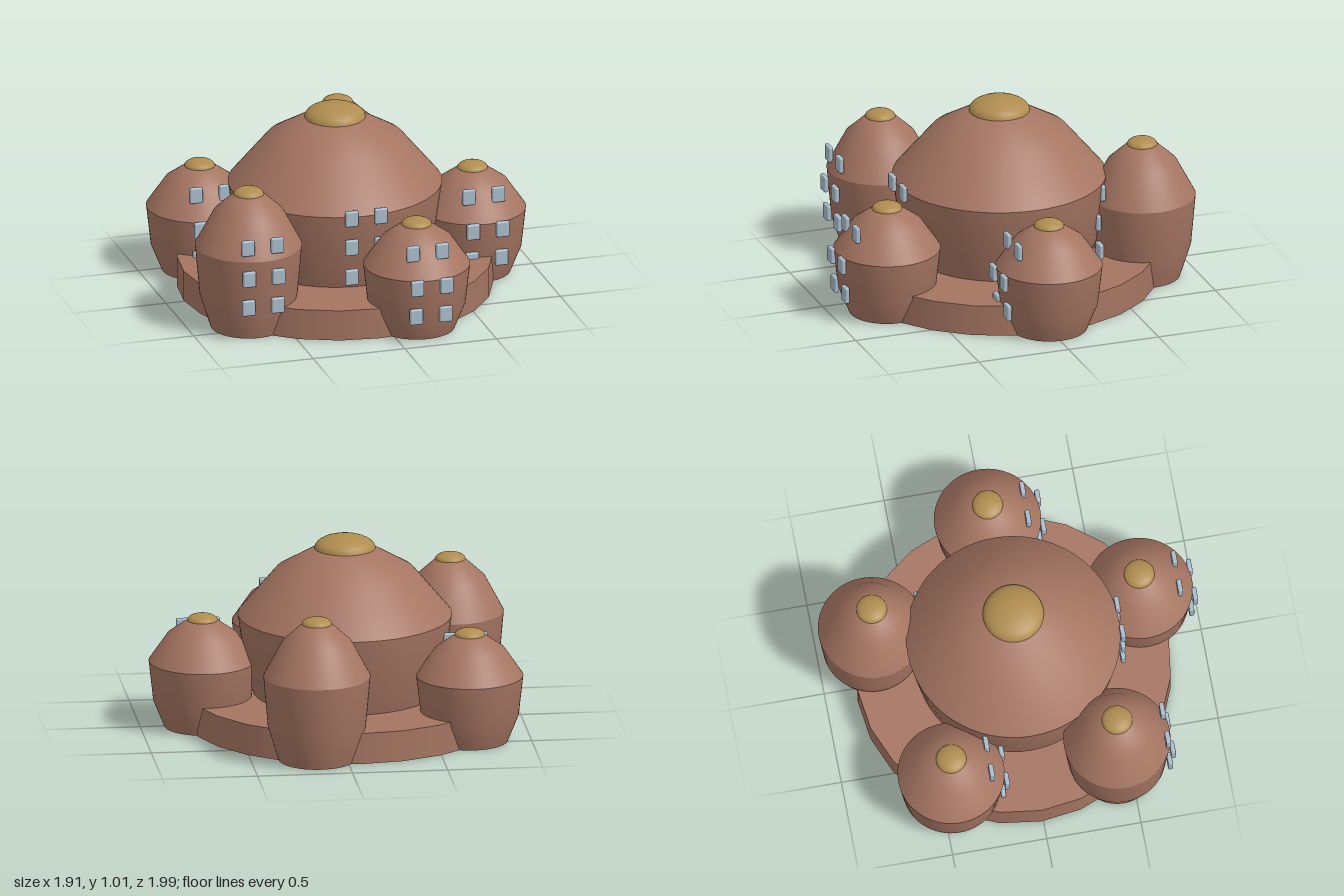
import * as THREE from 'three';
import { RoundedBoxGeometry } from 'three/addons/geometries/RoundedBoxGeometry.js';

const clay = new THREE.MeshStandardMaterial({ color: 0xa57562 });
clay.name = 'clay';
const gold = new THREE.MeshStandardMaterial({ color: 0xb08d50 });
gold.name = 'gold';
const glass = new THREE.MeshStandardMaterial({ color: 0xa9bccb });
glass.name = 'paleBlue';

function mesh(name, geometry, material) {
  const m = new THREE.Mesh(geometry, material);
  m.name = name;
  return m;
}

function lathe(points) {
  return new THREE.LatheGeometry(points.map(([r, y]) => new THREE.Vector2(r, y)), 64);
}

const windowGeometry = new RoundedBoxGeometry(0.07, 0.085, 0.026, 2, 0.008);

// A rounded hut: tapered body, faceted-profile dome, gold cap, two columns of windows
function hut({ name, x, z, radius: R, waist, capBase, capHeight, windows }) {
  const g = new THREE.Group();
  g.name = name;
  g.position.set(x, 0, z);
  const rise = capBase - waist;

  g.add(mesh('body', lathe([
    [0, 0], [0.71 * R, 0], [0.71 * R, 0], [0.915 * R, 0.4 * waist], [R, waist],
  ]), clay));
  g.add(mesh('dome', lathe([
    [R, waist], [0.65 * R, waist + 0.66 * rise], [0.28 * R, capBase], [0, capBase],
  ]), clay));

  // Flattened half-ellipsoid cap with a flat underside
  const capR = 0.285 * R;
  const capProfile = [[0, 0], [capR, 0]];
  for (let i = 0; i <= 8; i++) {
    const a = (i / 8) * Math.PI / 2;
    capProfile.push([i === 8 ? 0 : capR * Math.cos(a), capHeight * Math.sin(a)]);
  }
  const cap = mesh('cap', lathe(capProfile), gold);
  cap.position.y = capBase;
  g.add(cap);

  for (const [y, depth] of windows) {
    for (const side of [-1, 1]) {
      const w = mesh('window', windowGeometry, glass);
      w.position.set(side * 0.08, y, depth);
      g.add(w);
    }
  }
  return g;
}

export function createModel() {
  const model = new THREE.Group();
  model.name = 'domedHouses';

  // Low platform
  const platform = mesh('platform', new THREE.CylinderGeometry(0.825, 0.825, 0.165, 24), clay);
  platform.position.set(-0.075, 0.0825, -0.01);
  model.add(platform);

  // Large central hall
  model.add(hut({
    name: 'mainHall', x: -0.075, z: -0.01, radius: 0.56,
    waist: 0.585, capBase: 0.94, capHeight: 0.07,
    windows: [[0.255, 0.565], [0.42, 0.565], [0.58, 0.565]],
  }));

  // Ring of five smaller huts, two of them taller
  const low = {
    radius: 0.28, waist: 0.355, capBase: 0.572, capHeight: 0.035,
    windows: [[0.155, 0.26], [0.32, 0.28], [0.485, 0.2]],
  };
  const tall = {
    radius: 0.28, waist: 0.455, capBase: 0.735, capHeight: 0.035,
    windows: [[0.2, 0.265], [0.365, 0.28], [0.53, 0.255]],
  };
  model.add(hut({ ...low, name: 'leftHut', x: 0.675, z: -0.01 }));
  model.add(hut({ ...low, name: 'frontHut', x: 0.155, z: 0.7 }));
  model.add(hut({ ...tall, name: 'frontRightTower', x: -0.68, z: 0.43 }));
  model.add(hut({ ...low, name: 'backRightHut', x: -0.68, z: -0.45 }));
  model.add(hut({ ...tall, name: 'backTower', x: 0.155, z: -0.72 }));

  return model;
}
